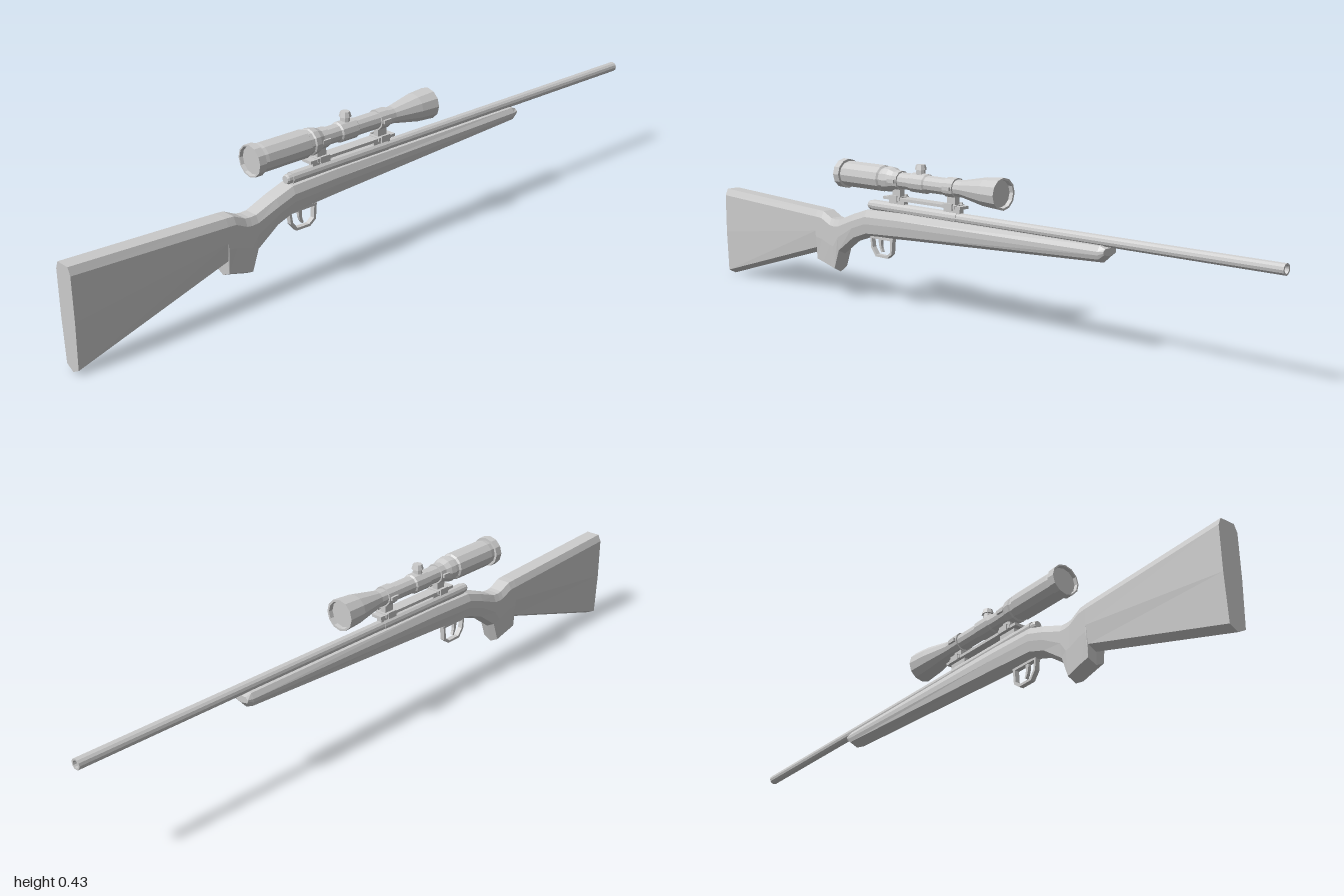
import * as THREE from 'three';

const grey = new THREE.MeshStandardMaterial({ color: 0xcccccc, flatShading: true });
const BORE_Y = 0.298, SCOPE_Y = 0.38;

function add(parent, name, geometry, x = 0, y = 0, z = 0) {
  const mesh = new THREE.Mesh(geometry, grey);
  mesh.name = name;
  mesh.position.set(x, y, z);
  parent.add(mesh);
  return mesh;
}

// Turned part along the x axis; profile is [x, radius] pairs
function turned(profile, sides) {
  const points = profile.map(([x, r]) => new THREE.Vector2(r, x));
  return new THREE.LatheGeometry(points, sides).rotateZ(-Math.PI / 2);
}

// Stock cross-section: flat top, chamfered shoulders, full sides, shallow V underneath
function section([x, top, bottom, wide = 0.031, low = 0.026]) {
  const h = top - bottom;
  const side = [
    [top, wide * 0.7],
    [top - Math.min(0.02, h * 0.3), wide],
    [bottom + h * 0.5, wide],
    [bottom + Math.min(0.013, h * 0.25), low],
  ];
  const mirror = side.slice().reverse().map(([y, z]) => [y, -z]);
  return [...side, [bottom, 0], ...mirror].map(([y, z]) => [x, y, z]);
}

function loft(stations) {
  const rings = stations.map(section);
  const n = rings[0].length, index = [];
  for (let i = 0; i < rings.length - 1; i++) {
    for (let j = 0; j < n; j++) {
      const a = i * n + j, b = i * n + (j + 1) % n;
      index.push(a, b, a + n, b, b + n, a + n);
    }
  }
  const last = (rings.length - 1) * n;
  for (let j = 1; j < n - 1; j++) {
    index.push(0, j + 1, j, last, last + j, last + j + 1);
  }
  const geometry = new THREE.BufferGeometry();
  geometry.setAttribute('position', new THREE.Float32BufferAttribute(rings.flat(2), 3));
  geometry.setIndex(index);
  geometry.computeVertexNormals();
  return geometry;
}

function extruded(shape, depth) {
  return new THREE.ExtrudeGeometry(shape, { depth, bevelEnabled: false, curveSegments: 4 })
    .translate(0, 0, -depth / 2);
}

const outline = (points) => points.map(([x, y]) => new THREE.Vector2(x, y));

export function createModel() {
  const model = new THREE.Group();
  model.name = 'scopedRifle';

  // Stock: butt, pistol grip and fore-end as x, top, bottom, half widths
  add(model, 'stock', loft([
    [-1, 0.281, 0.003, 0.03, 0.025],
    [-0.562, 0.262, 0.135, 0.031, 0.026],
    [-0.56, 0.262, 0.1, 0.031, 0.026],
    [-0.535, 0.26, 0.094, 0.03, 0.026],
    [-0.5, 0.243, 0.084, 0.029, 0.025],
    [-0.485, 0.241, 0.08, 0.029, 0.025],
    [-0.465, 0.242, 0.137, 0.029, 0.025],
    [-0.4, 0.267, 0.184],
    [-0.345, 0.285, 0.203],
    [-0.2, 0.289, 0.211],
    [0.495, 0.288, 0.243, 0.029, 0.025],
    [0.512, 0.282, 0.262, 0.026, 0.024],
  ]));

  // Barrel with a hollow muzzle
  add(model, 'barrel', turned([
    [-0.02, 0], [-0.02, 0.0145], [1, 0.0145], [1, 0.01], [0.95, 0.01], [0.95, 0],
  ], 12), 0, BORE_Y);

  // Receiver and the stepped rear of the bolt
  add(model, 'receiver', turned([
    [-0.335, 0], [-0.335, 0.016], [0, 0.016], [0, 0],
  ], 12), 0, BORE_Y);
  add(model, 'boltShroud', turned([
    [-0.352, 0], [-0.352, 0.011], [-0.347, 0.0135], [-0.33, 0.0135], [-0.33, 0],
  ], 12), 0, BORE_Y);

  // Trigger guard loop
  const guard = new THREE.Shape(outline([
    [-0.347, 0.208], [-0.343, 0.172], [-0.325, 0.149], [-0.278, 0.148],
    [-0.258, 0.163], [-0.254, 0.208],
  ]));
  guard.holes.push(new THREE.Path(outline([
    [-0.34, 0.201], [-0.263, 0.201], [-0.265, 0.167], [-0.281, 0.155],
    [-0.321, 0.156], [-0.336, 0.175],
  ])));
  add(model, 'triggerGuard', extruded(guard, 0.014));

  // Curved trigger
  const trigger = new THREE.Shape();
  trigger.moveTo(-0.313, 0.21);
  trigger.quadraticCurveTo(-0.318, 0.182, -0.303, 0.163);
  trigger.lineTo(-0.298, 0.165);
  trigger.quadraticCurveTo(-0.309, 0.184, -0.3, 0.21);
  add(model, 'trigger', extruded(trigger, 0.009));

  // Scope body, eyepiece at the rear and objective at the front
  const scope = new THREE.Group();
  scope.name = 'scope';
  scope.position.y = SCOPE_Y;
  model.add(scope);
  add(scope, 'scopeBody', turned([
    [-0.455, 0], [-0.455, 0.037], [-0.464, 0.039], [-0.464, 0.043], [-0.442, 0.043],
    [-0.442, 0.036], [-0.428, 0.038], [-0.29, 0.038], [-0.286, 0.033], [-0.275, 0.033],
    [-0.272, 0.037], [-0.255, 0.035], [-0.23, 0.024], [0.02, 0.024], [0.105, 0.04],
    [0.162, 0.044], [0.162, 0.038], [0.15, 0.037], [0.15, 0],
  ], 12));

  // Adjustment turret on top and windage knob base
  add(scope, 'turretSaddle', turned([
    [-0.178, 0.022], [-0.172, 0.028], [-0.118, 0.028], [-0.112, 0.022],
  ], 12));
  add(scope, 'turretNeck', new THREE.CylinderGeometry(0.012, 0.014, 0.03, 8), -0.145, 0.03);
  add(scope, 'turretCap', new THREE.CylinderGeometry(0.013, 0.017, 0.014, 8), -0.145, 0.045);

  // Mounting rail joining both mounts
  add(model, 'mountRail', new THREE.BoxGeometry(0.3, 0.008, 0.034), -0.13, 0.328);

  // Scope mounts: foot, clamp plate, side clamps and ring
  for (const x of [-0.235, -0.02]) {
    const mount = new THREE.Group();
    mount.name = 'scopeMount';
    mount.position.x = x;
    model.add(mount);
    add(mount, 'mountFoot', new THREE.BoxGeometry(0.06, 0.022, 0.016), 0, 0.316);
    add(mount, 'clampPlate', new THREE.BoxGeometry(0.045, 0.01, 0.04), 0, 0.329);
    add(mount, 'ringSaddle', new THREE.BoxGeometry(0.03, 0.03, 0.018), 0, 0.345);
    add(mount, 'ring', turned([
      [-0.017, 0.022], [-0.017, 0.028], [0.017, 0.028], [0.017, 0.022],
    ], 12), 0, SCOPE_Y);
    for (const side of [-1, 1]) {
      add(mount, 'sideClamp', new THREE.BoxGeometry(0.03, 0.018, 0.005), 0, 0.329, side * 0.0205);
      add(mount, 'ringLug', new THREE.BoxGeometry(0.026, 0.01, 0.008), 0, SCOPE_Y, side * 0.029);
    }
  }

  return model;
}
